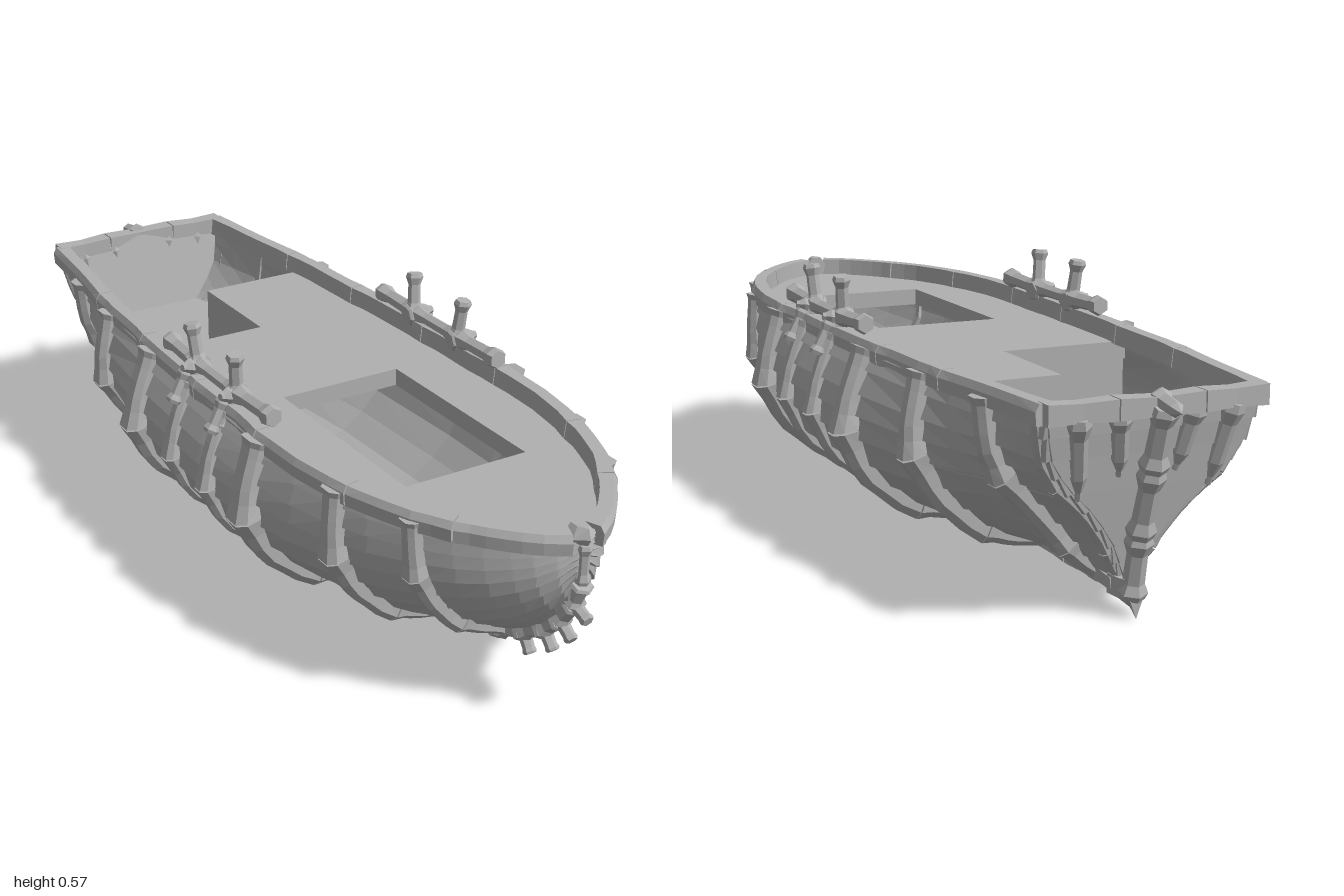
import * as THREE from 'three';

const stone = new THREE.MeshStandardMaterial({ color: 0xb0b0b0, flatShading: true, side: THREE.DoubleSide });
stone.name = 'plain grey';

const clamp = THREE.MathUtils.clamp, mix = THREE.MathUtils.lerp;
const V = (x, y, z) => new THREE.Vector3(x, y, z);
const TOP = 0.45;

// Hull lines: station position, half breadth and keel height
const Z = [-0.8, -0.75, -0.7, -0.58, -0.45, -0.2, 0.1, 0.3, 0.45, 0.55, 0.65, 0.75, 0.82, 0.87, 0.91, 0.94, 0.965, 0.98];
const W = [0.226, 0.243, 0.258, 0.288, 0.315, 0.342, 0.354, 0.348, 0.328, 0.303, 0.27, 0.225, 0.182, 0.145, 0.11, 0.08, 0.045, 0.008];
const K = [0.055, 0.06, 0.065, 0.072, 0.075, 0.075, 0.075, 0.075, 0.078, 0.085, 0.105, 0.135, 0.165, 0.195, 0.23, 0.262, 0.3, 0.34];
// Section shapes from keel to rail, as fractions of breadth and depth
const MID = { x: [0, 0.34, 0.63, 0.88, 1, 0.97, 0.89, 0.855], y: [0, 0.02, 0.1, 0.28, 0.53, 0.71, 0.92, 1] };
const BOW = { x: [0, 0.3, 0.58, 0.8, 0.94, 0.98, 1, 1], y: [0, 0.08, 0.2, 0.38, 0.58, 0.75, 0.92, 1] };
const STERN = { x: [0, 0.08, 0.2, 0.42, 0.72, 0.9, 0.98, 1], y: [0, 0.1, 0.25, 0.42, 0.58, 0.72, 0.9, 1] };

function table(xs, ys, x) {
  let i = 0;
  while (i < xs.length - 2 && x > xs[i + 1]) i++;
  return mix(ys[i], ys[i + 1], clamp((x - xs[i]) / (xs[i + 1] - xs[i]), 0, 1));
}
function at(list, g) {
  const f = clamp(g, 0, 1) * 7, i = Math.min(6, Math.floor(f));
  return mix(list[i], list[i + 1], f - i);
}
function section(z, g) {
  const end = z > 0 ? BOW : STERN;
  const b = z > 0 ? clamp((z - 0.2) / 0.55, 0, 1) : clamp((-0.3 - z) / 0.5, 0, 1) ** 1.5;
  const k = table(Z, K, z);
  return [table(Z, W, z) * mix(at(MID.x, g), at(end.x, g), b),
    k + (TOP - k) * mix(at(MID.y, g), at(end.y, g), b)];
}
// Point on the hull at station z and girth g (0 keel, 1 rail), moved outward by off
function hull(z, g, off = 0) {
  const [x, y] = section(z, g);
  const a = section(z, Math.max(0, g - 0.04)), b = section(z, Math.min(1, g + 0.04));
  const dx = b[0] - a[0], dy = b[1] - a[1], l = Math.hypot(dx, dy) || 1;
  const rake = 0.105 * clamp((-0.7 - z) / 0.1, 0, 1) * (y - 0.05) / 0.4;
  return V(Math.max(0, x + off * dy / l), y - off * dx / l, z - rake);
}
function girthAt(z, y) {
  let lo = 0, hi = 1;
  for (let i = 0; i < 24; i++) {
    const m = (lo + hi) / 2;
    if (section(z, m)[1] < y) lo = m; else hi = m;
  }
  return lo;
}
function steps(a, b, n) { return Array.from({ length: n + 1 }, (_, i) => mix(a, b, i / n)); }

// Closed solid through rings of points, turned so that faces point outward
function loft(rings) {
  const n = rings[0].length, tris = [];
  for (let i = 0; i < rings.length - 1; i++) for (let j = 0; j < n; j++) {
    const a = rings[i][j], b = rings[i][(j + 1) % n], c = rings[i + 1][(j + 1) % n], d = rings[i + 1][j];
    tris.push([a, b, c], [a, c, d]);
  }
  const first = rings[0], last = rings[rings.length - 1];
  for (let j = 1; j < n - 1; j++) tris.push([first[0], first[j + 1], first[j]], [last[0], last[j], last[j + 1]]);
  let vol = 0;
  for (const [a, b, c] of tris) vol += a.dot(b.clone().cross(c));
  const pos = [];
  for (const [a, b, c] of tris) for (const p of vol < 0 ? [a, c, b] : [a, b, c]) pos.push(p.x, p.y, p.z);
  const geo = new THREE.BufferGeometry();
  geo.setAttribute('position', new THREE.Float32BufferAttribute(pos, 3));
  geo.computeVertexNormals();
  return geo;
}
const flip = (rings, s) => rings.map(r => r.map(p => V(p.x * s, p.y, p.z)));

export function createModel() {
  const model = new THREE.Group();
  model.name = 'boat';
  const add = (geo, name) => {
    const m = new THREE.Mesh(geo, stone);
    m.name = name;
    model.add(m);
    return m;
  };
  const both = (rings, name) => [1, -1].forEach(s => add(loft(flip(rings, s)), name));
  // Knobbly six-sided bar with flared ends
  const bar = (p, q, r, name, tip = 1) => {
    const l = p.distanceTo(q), prof = [[0, 0], [1, 0], [1.2, 0.1], [0.85, 0.25], [0.8, 0.72], [1.15 * tip, 0.9], [0.95 * tip, 1], [0, 1]];
    const m = add(new THREE.LatheGeometry(prof.map(([a, b]) => new THREE.Vector2(a * r, b * l)), 6), name);
    m.position.copy(p);
    m.quaternion.setFromUnitVectors(V(0, 1, 0), q.clone().sub(p).normalize());
  };

  // Overlapping hull planks
  const PLANKS = 11;
  for (let i = 0; i < PLANKS; i++) {
    const g0 = i / PLANKS, g1 = (i + 1) / PLANKS;
    both(Z.map(z => [hull(z, g0, -0.006), hull(z, g0, 0.011), hull(z, g1, 0.003), hull(z, g1, -0.006)]), 'hullPlank');
    // Matching transom plank
    const a = hull(-0.8, g0), b = hull(-0.8, g1);
    add(loft([-1, 1].map(s => [V(s * a.x, a.y, a.z + 0.01), V(s * a.x, a.y, a.z - 0.008),
      V(s * b.x, b.y, b.z - 0.003), V(s * b.x, b.y, b.z + 0.01)])), 'transomPlank');
  }

  // Segmented ribs: station, width, thickness
  const ribs = [[0.75, 0.05, 0.032], [0.57, 0.06, 0.037], [0.31, 0.075, 0.045], [0.15, 0.045, 0.03], [-0.02, 0.045, 0.03],
    [-0.21, 0.065, 0.045], [-0.47, 0.06, 0.042], [-0.7, 0.06, 0.04], [-0.785, 0.03, 0.018]];
  for (const [z, w, t] of ribs) {
    for (const [g0, g1] of [[0, 0.24], [0.245, 0.57], [0.575, 0.95]]) {
      both(steps(0, 1, 6).map(u => {
        const g = mix(g0, g1, u), k = 0.86 + 0.22 * (2 * u - 1) ** 4, taper = g > 0.6 ? 1.2 - g * 0.35 : 1;
        const h = w / 2 * k * taper, o = t * k * taper * Math.min(1, 0.7 + g);
        const ring = [[-1, -0.004], [-1, o * 0.6], [-0.55, o], [0.55, o], [1, o * 0.6], [1, -0.004]];
        return ring.map(([dz, off]) => hull(z, g, off).add(V(0, 0, dz * h)));
      }), 'rib');
    }
  }

  // Top rail in pieces along each side, closed by a cap at the bow
  const breaks = [-0.8, -0.55, -0.27, 0.02, 0.3, 0.6, 0.82, 0.972];
  for (let i = 0; i < breaks.length - 1; i++) {
    both(steps(breaks[i] + 0.003, breaks[i + 1], 6).map((z, j) => {
      const p = hull(z, 1), d = hull(z + 0.008, 1).sub(hull(z - 0.008, 1)).normalize();
      const k = j === 0 || j === 6 ? 0.022 : 0.019;
      const corner = (s, y) => V(Math.max(0, p.x + (s * k - 0.002) * d.z), y, p.z - (s * k - 0.002) * d.x);
      return [corner(-1, 0.418), corner(1, 0.418), corner(1.1, 0.445), corner(0.7, 0.46), corner(-0.8, 0.46)];
    }), 'sideRail');
  }
  add(loft([[0.415, 0.02, 0.975], [0.445, 0.028, 0.99], [0.466, 0.012, 0.982]].map(([y, w, z]) =>
    [V(-w, y, 0.95), V(-w, y, z - 0.012), V(0, y, z + 0.008), V(w, y, z - 0.012), V(w, y, 0.95)])), 'bowCap');
  // Stern rail in three pieces
  for (const [a, b] of [[-0.234, -0.093], [-0.09, 0.09], [0.093, 0.234]]) {
    add(loft(steps(a, b, 2).map((x, j) => {
      const k = j === 1 ? 0.018 : 0.021, z = -0.914 + 0.012 * Math.abs(x) / 0.234;
      return [V(x, 0.44 - k, z + k), V(x, 0.44 - k, z - k), V(x, 0.44 + k, z - k), V(x, 0.44 + k, z + k)];
    })), 'sternRail');
  }

  // Upper deck with hatch and stepped aft edge
  const edge = (z, y) => hull(z, girthAt(z, y));
  const deckSide = (from, s) => [from, ...Z.filter(z => z > from + 0.01 && z < 0.97)].map(z => {
    const p = edge(z, 0.42);
    return new THREE.Vector2(s * p.x, -p.z);
  });
  const deck = new THREE.Shape([...deckSide(-0.52, 1), ...deckSide(-0.25, -1).reverse(),
    new THREE.Vector2(0, 0.25), new THREE.Vector2(0, 0.52)]);
  deck.holes.push(new THREE.Path([[-0.15, -0.12], [0.145, -0.12], [0.145, -0.605], [-0.15, -0.605]].map(p => new THREE.Vector2(...p))));
  const slab = (shape, depth, top, name) => {
    const geo = new THREE.ExtrudeGeometry(shape, { depth, bevelEnabled: false });
    geo.rotateX(-Math.PI / 2).translate(0, top - depth, 0);
    add(geo, name);
  };
  slab(deck, 0.04, 0.42, 'upperDeck');
  // Lower aft floor
  const floorSide = s => [-0.8, -0.75, -0.7, -0.58, -0.45, -0.2].map(z => {
    const p = edge(z, 0.26);
    return new THREE.Vector2(s * p.x, -p.z);
  });
  slab(new THREE.Shape([...floorSide(1), ...floorSide(-1).reverse()]), 0.01, 0.26, 'lowerFloor');
  // Step walls between the two levels
  for (const [x0, x1, z0, z1] of [[0, 0.268, -0.52, -0.51], [0, 0.01, -0.52, -0.25], [-0.295, 0.01, -0.25, -0.24]]) {
    add(new THREE.BoxGeometry(x1 - x0, 0.16, z1 - z0).translate((x0 + x1) / 2, 0.335, (z0 + z1) / 2), 'stepWall');
  }

  // Keel blocks
  const keel = [0.54, 0.46, 0.2, -0.02, -0.38, -0.6, -0.8];
  for (let i = 0; i < keel.length - 1; i++) {
    add(loft(steps(keel[i], keel[i + 1] + 0.006, 4).map((z, j) => {
      const k = j % 4 === 0 ? 1.12 : 0.95;
      return [V(-0.028 * k, 0.074, z), V(-0.026 * k, 0.047, z), V(0, 0.058 - 0.026 * k, z), V(0.026 * k, 0.047, z), V(0.028 * k, 0.074, z)];
    })), 'keel');
  }
  add(loft([[-0.78, 0.03, 0.03], [-0.82, 0.018, 0.026], [-0.845, 0.002, 0.014]].map(([z, y, w]) =>
    [V(-w, 0.08, z), V(-w, 0.04, z), V(0, y, z), V(w, 0.04, z), V(w, 0.08, z)])), 'keelHeel');

  // Stem vertebrae with short spikes
  const stem = [[0.982, 0.43], [0.982, 0.345], [0.962, 0.29], [0.925, 0.235], [0.878, 0.19], [0.815, 0.15], [0.74, 0.115], [0.63, 0.082], [0.52, 0.06]];
  for (let i = 0; i < stem.length - 1; i++) {
    const p = V(0, stem[i][1], stem[i][0]), q = V(0, stem[i + 1][1], stem[i + 1][0]);
    bar(p, q, i ? 0.021 : 0.014, 'stem');
    if (i > 0 && i < 5) {
      const d = q.clone().sub(p).normalize(), out = V(0, d.z, -d.y).multiplyScalar(0.048);
      bar(q, q.clone().add(out), 0.016, 'stemSpike', 0.8);
    }
  }

  // Stern post, crowning spike and transom claws
  const post = [V(0, 0.04, -0.825), V(0, 0.17, -0.852), V(0, 0.31, -0.895), V(0, 0.44, -0.935)];
  for (let i = 0; i < 3; i++) bar(post[i], post[i + 1], 0.026, 'sternPost');
  bar(V(0, 0.452, -0.91), V(0, 0.438, -0.998), 0.02, 'sternSpike', 0.15);
  for (const s of [-1, 1]) for (const [x, x2, y] of [[0.08, 0.06, 0.3], [0.165, 0.14, 0.26]]) {
    bar(V(s * x, 0.43, -0.91), V(s * x2, y, -0.808 - 0.2625 * (y - 0.05)), 0.021, 'transomClaw', 0.3);
  }

  // Side racks: a log carried on two upright posts
  for (const s of [-1, 1]) {
    bar(V(s * 0.285, 0.485, 0.315), V(s * 0.287, 0.48, 0.16), 0.021, 'rackLog');
    bar(V(s * 0.287, 0.48, 0.16), V(s * 0.287, 0.48, -0.02), 0.018, 'rackLog');
    bar(V(s * 0.287, 0.48, -0.02), V(s * 0.285, 0.485, -0.16), 0.021, 'rackLog');
    for (const [z, lean] of [[0.155, 0.01], [-0.02, -0.012]]) {
      bar(V(s * 0.32, 0.4, z), V(s * 0.285, 0.495, z), 0.019, 'rackFoot');
      bar(V(s * 0.285, 0.48, z), V(s * 0.293, 0.573, z + lean), 0.018, 'rackPost');
      bar(V(s * 0.265, 0.475, z), V(s * 0.33, 0.482, z + 0.01), 0.022, 'rackKnob', 0.4);
      bar(V(s * 0.35, 0.4, z), V(s * 0.315, 0.47, z), 0.016, 'rackBrace');
    }
  }
  return model;
}
